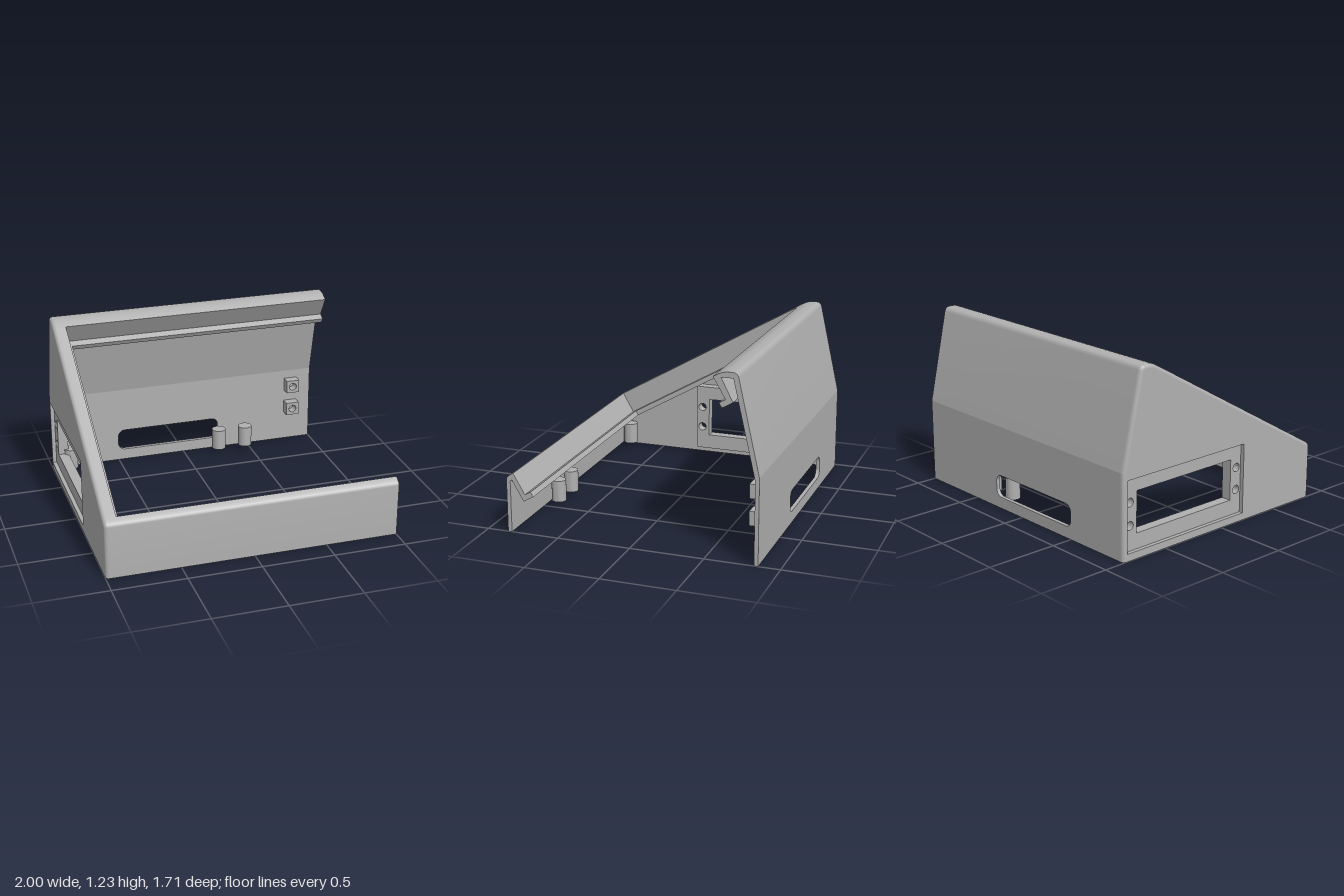
import * as THREE from 'three';
import { toCreasedNormals, mergeGeometries } from 'three/addons/utils/BufferGeometryUtils.js';

const V = (a, b) => new THREE.Vector2(a, b);
const L = 1.569; // length of the sloped opening

// Point on the slope in (z, y): s runs up the slope, d goes down into it
const P = (s, d) => V(0.806 - 0.866 * s - 0.5 * d, 0.41 + 0.5 * s - 0.866 * d);

const curve = (a, c, b) => new THREE.QuadraticBezierCurve(a, c, b).getPoints(8);
const rect = (a0, a1, b0, b1) => [V(a0, b0), V(a1, b0), V(a1, b1), V(a0, b1)];

function circle(x, y, r) {
  const p = new THREE.Path();
  p.absarc(x, y, r, 0, Math.PI * 2, true);
  return p;
}

function shapeOf(points, holes = []) {
  const s = new THREE.Shape(points);
  s.holes.push(...holes);
  return s;
}

// Extrude a (z, y) shape along x from x0 to x1
function extrudeX(shape, x0, x1) {
  const g = new THREE.ExtrudeGeometry(shape, { depth: x1 - x0, bevelEnabled: false, curveSegments: 16 });
  g.rotateY(-Math.PI / 2).translate(x1, 0, 0);
  return toCreasedNormals(g, 0.21);
}

// Extrude an (x, y) shape along z from z0 to z1
function extrudeZ(shape, z0, z1) {
  const g = new THREE.ExtrudeGeometry(shape, { depth: z1 - z0, bevelEnabled: false, curveSegments: 12 });
  return toCreasedNormals(g.translate(0, 0, z0), 0.3);
}

// Flat (z, y) face at a given x
const capX = (shape, x) => new THREE.ShapeGeometry(shape).rotateY(-Math.PI / 2).translate(x, 0, 0);

// Skin between closed (z, y) rings at successive x
function skin(rings) {
  const pos = [], idx = [], n = rings[0].pts.length;
  for (const { x, pts } of rings) {
    for (const p of pts) pos.push(x, p.y, p.x);
  }
  for (let k = 0; k < rings.length - 1; k++) {
    for (let i = 0; i < n; i++) {
      const a = k * n + i, b = k * n + (i + 1) % n;
      idx.push(a, a + n, b, b, a + n, b + n);
    }
  }
  const g = new THREE.BufferGeometry();
  g.setAttribute('position', new THREE.Float32BufferAttribute(pos, 3));
  g.setIndex(idx);
  return toCreasedNormals(g, 0.21);
}

// Move a counter-clockwise outline inward, keeping the base on the ground
function inset(pts, r) {
  return pts.map((p, i) => {
    const a = pts[(i + pts.length - 1) % pts.length], b = pts[(i + 1) % pts.length];
    const n1 = V(a.y - p.y, p.x - a.x).normalize();
    const n2 = V(p.y - b.y, b.x - p.x).normalize();
    const q = n1.clone().add(n2).multiplyScalar(r / (1 + n1.dot(n2))).add(p);
    if (p.y === 0) q.y = 0;
    return q;
  });
}

export function createModel() {
  const group = new THREE.Group();
  const grey = new THREE.MeshStandardMaterial({ color: 0xb0b0b0, side: THREE.DoubleSide });
  grey.name = 'caseGrey';
  const add = (name, geo, x = 0, y = 0, z = 0) => {
    const m = new THREE.Mesh(geo, grey);
    m.name = name;
    m.position.set(x, y, z);
    group.add(m);
  };

  // Outer outline in (z, y), front half and back half
  const frontEdge = [V(0.855, 0), ...curve(V(0.855, 0.362), V(0.855, 0.382), V(0.825, 0.399)), P(0, 0)];
  const topEdge = [P(L, 0), ...curve(V(-0.575, 1.207), V(-0.615, 1.23), V(-0.65, 1.23)),
    ...curve(V(-0.677, 1.23), V(-0.709, 1.23), V(-0.717, 1.197)), V(-0.855, 0.58)];
  const outline = [...frontEdge, ...topEdge, V(-0.855, 0)];

  // Side wall with rounded outer edge and a recess for the window panel
  const wallIn = -0.968, r = 0.025;
  const panelRect = rect(-0.82, 0.2, 0.05, 0.53);
  const rings = [];
  for (let k = 0; k <= 8; k++) {
    const t = (k / 8) * Math.PI / 2;
    rings.push({ x: -1 + r - r * Math.cos(t), pts: inset(outline, r - r * Math.sin(t)) });
  }
  rings.push({ x: wallIn, pts: outline });
  const panelOpening = [new THREE.Path(panelRect)];
  add('sideWallEdge', skin(rings));
  add('sideWallFaces', mergeGeometries([
    capX(shapeOf(rings[0].pts, panelOpening), -1),
    capX(shapeOf(outline, panelOpening), wallIn),
  ]));
  add('panelRecess', skin([{ x: wallIn, pts: panelRect }, { x: -1, pts: panelRect }]));

  // Recessed window panel with screw holes
  const panelHoles = [new THREE.Path(rect(-0.72, 0.107, 0.155, 0.435))];
  for (const z of [0.16, -0.777]) {
    for (const y of [0.217, 0.37]) panelHoles.push(circle(z, y, 0.029));
  }
  add('windowPanel', extrudeX(shapeOf(panelRect, panelHoles), -0.972, -0.9));

  // Front wall folding over into the bezel recess and ledge
  const frontSection = shapeOf([...frontEdge, P(0, 0.16), P(0.047, 0.16), P(0.047, 0.197),
    P(-0.033, 0.197), P(-0.033, 0.037), V(0.828, 0.355), V(0.828, 0)]);
  add('frontWall', extrudeX(frontSection, -0.975, 1));

  // Sloped back wall folding over into the bezel recess and ledge
  const backSection = shapeOf([...topEdge, V(-0.855, 0.557), V(-0.828, 0.557), V(-0.682, 1.193),
    V(-0.604, 1.193), P(L + 0.035, 0.197), P(L - 0.047, 0.197), P(L - 0.047, 0.16), P(L, 0.16)]);
  add('upperBackWall', extrudeX(backSection, -0.975, 1));

  // Upright back wall with a rounded slot
  const slot = new THREE.Path();
  const [x0, x1, y0, y1, c] = [-0.5, 0.27, 0.08, 0.235, 0.05];
  slot.absarc(x0 + c, y0 + c, c, Math.PI, Math.PI * 1.5);
  slot.absarc(x1 - c, y0 + c, c, Math.PI * 1.5, Math.PI * 2);
  slot.absarc(x1 - c, y1 - c, c, 0, Math.PI / 2);
  slot.absarc(x0 + c, y1 - c, c, Math.PI / 2, Math.PI);
  add('lowerBackWall', extrudeZ(shapeOf(rect(-0.975, 1, 0, 0.557), [slot]), -0.855, -0.828));

  // Side run of the bezel: top flange, recess wall and ledge
  const slab = (d0, d1) => shapeOf([P(0, d0), P(L, d0), P(L, d1), P(0, d1)]);
  add('sideFlange', extrudeX(slab(0, 0.035), -0.975, -0.91));
  add('sideRecessWall', extrudeX(slab(0, 0.197), -0.94, -0.91));
  add('sideLedge', extrudeX(slab(0.16, 0.197), -0.94, -0.863));

  // Screw posts with blind holes from below
  const post = toCreasedNormals(new THREE.LatheGeometry([V(0, 0.12), V(0.024, 0.12), V(0.024, 0),
    V(0.05, 0), V(0.05, 0.15), V(0, 0.15)], 32), 0.5);
  for (const z of [0.735, -0.735]) {
    for (const x of [-0.88, 0.25, 0.455]) add('screwPost', post, x, 0.04, z);
  }

  // Drilled blocks on the inside of the back wall
  for (const y of [0.267, 0.447]) {
    const block = shapeOf(rect(0.797, 0.893, y - 0.048, y + 0.048), [circle(0.845, y, 0.028)]);
    add('mountBlock', extrudeZ(block, -0.83, -0.76));
  }
  return group;
}
